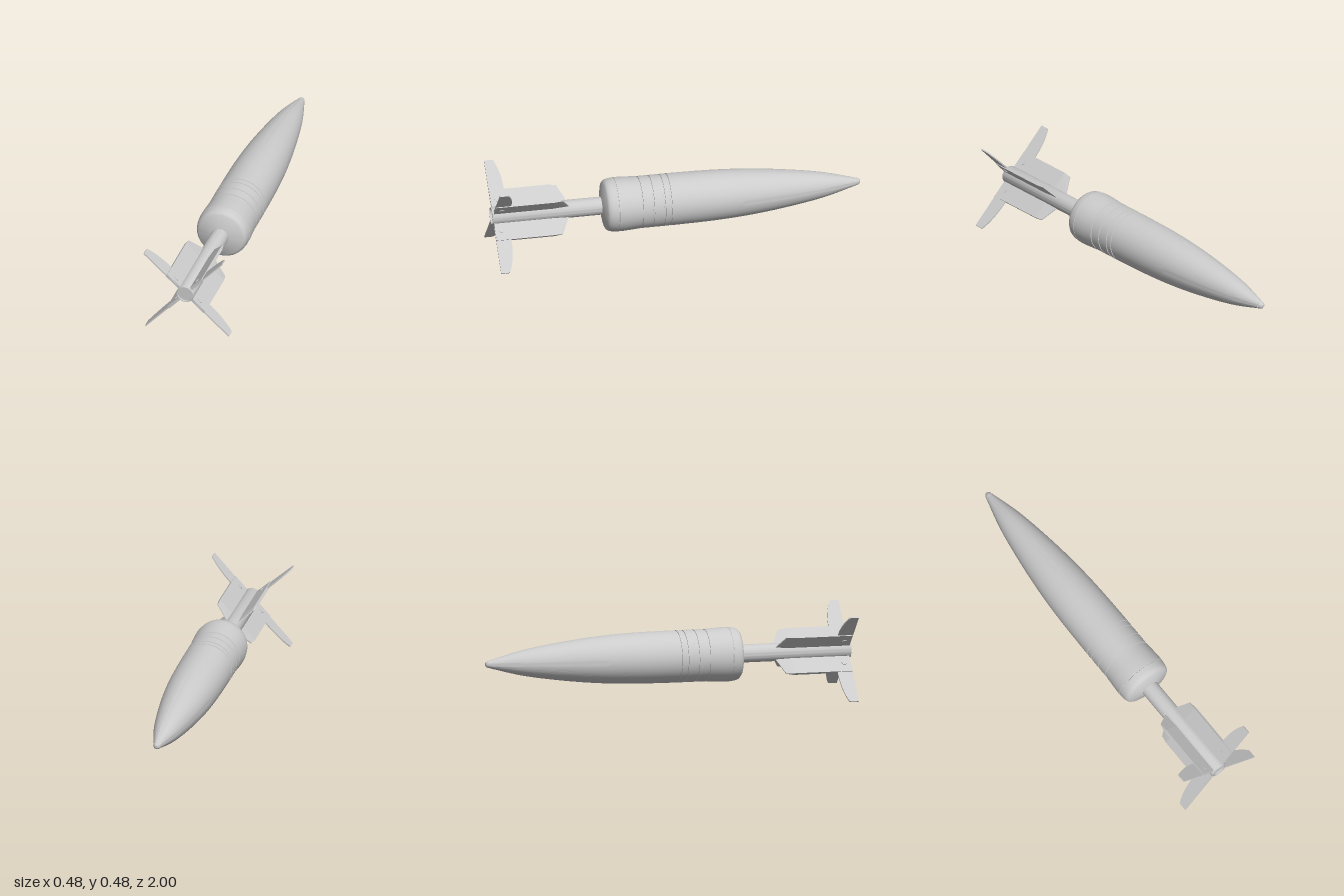
import * as THREE from 'three';
import { toCreasedNormals } from 'three/addons/utils/BufferGeometryUtils.js';

const material = new THREE.MeshStandardMaterial({ color: 0xcccccc });

function add(parent, name, geometry) {
  const mesh = new THREE.Mesh(toCreasedNormals(geometry, 0.45), material);
  mesh.name = name;
  parent.add(mesh);
  return mesh;
}

// Turned part along z; points are [z, radius] with z ascending
function turned(points, segments = 64) {
  const pts = points.map(([z, r]) => new THREE.Vector2(r, z));
  return new THREE.LatheGeometry(pts, segments).rotateX(Math.PI / 2);
}

// Flat part in the (radius, z) plane, centred on its thickness
function flat(shape, thickness) {
  return new THREE.ExtrudeGeometry(shape, { depth: thickness, bevelEnabled: false, curveSegments: 12 })
    .translate(0, 0, -thickness / 2)
    .rotateX(Math.PI / 2);
}

function polygon(points) {
  return new THREE.Shape(points.map(([r, z]) => new THREE.Vector2(r, z)));
}

function bodyProfile() {
  // Smooth ogive from behind the nose cap to the first band
  const ogive = new THREE.SplineCurve([
    [-0.975, 0.021], [-0.8, 0.067], [-0.6, 0.1], [-0.4, 0.123], [-0.2, 0.135], [0.03, 0.139],
  ].map(([z, r]) => new THREE.Vector2(z, r)));
  const points = ogive.getPoints(36).map((p) => [p.x, p.y]);
  // Grooved bands
  for (const z of [0.045, 0.08, 0.14, 0.2]) {
    points.push([z - 0.004, 0.139], [z - 0.003, 0.135], [z + 0.003, 0.135], [z + 0.004, 0.139]);
  }
  // Flared tail with a seam, rounded shoulder and shallow cone
  points.push(
    [0.25, 0.142], [0.29, 0.1445], [0.326, 0.145], [0.327, 0.143], [0.331, 0.143], [0.332, 0.1445],
    [0.36, 0.141], [0.374, 0.137], [0.382, 0.131], [0.388, 0.123], [0.404, 0.045],
  );
  return points;
}

function createFin(length) {
  const fin = new THREE.Group();
  const thick = 0.016;

  // Fixed plate
  add(fin, 'finPlate', flat(polygon([[0.04, 0.67], [0.143, 0.67], [0.143, 0.988], [0.04, 0.988]]), thick));

  // Leading edge, thinned towards the front
  const edge = flat(polygon([[0.04, 0.58], [0.05, 0.585], [0.138, 0.627], [0.143, 0.67], [0.04, 0.67]]), thick);
  const pos = edge.attributes.position;
  for (let i = 0; i < pos.count; i++) {
    if (pos.getZ(i) < 0.66) pos.setY(i, pos.getY(i) * 0.3);
  }
  edge.computeVertexNormals();
  add(fin, 'finLeadingEdge', edge);

  // Swing-out blade with a curved front edge
  const blade = new THREE.Shape();
  blade.moveTo(0.07, 0.99);
  blade.lineTo(0.07, 0.91);
  blade.lineTo(0.16, 0.908);
  blade.bezierCurveTo(0.22, 0.91, length - 0.04, 0.922, length - 0.003, 0.942);
  blade.lineTo(length, 0.95);
  blade.lineTo(length, 0.99);
  blade.closePath();
  add(fin, 'finBlade', flat(blade, 0.007));

  // Pivot pin showing on both faces
  const pin = new THREE.CylinderGeometry(0.014, 0.014, thick + 0.007, 20);
  add(fin, 'pivotPin', pin.translate(0.088, 0, 0.952));
  return fin;
}

export function createModel() {
  const model = new THREE.Group();
  model.name = 'finnedShell';
  model.position.set(-0.005, 0.249, 0);

  add(model, 'body', turned(bodyProfile(), 80));

  // Rounded nose cap
  add(model, 'noseCap', turned([
    [-1, 0], [-0.999, 0.007], [-0.995, 0.013], [-0.988, 0.0175], [-0.977, 0.0205], [-0.974, 0.0195],
  ], 40));

  // Tail tube with a recessed end
  add(model, 'tailTube', turned([
    [0.39, 0.048], [0.992, 0.048], [0.997, 0.046], [0.997, 0.042], [0.985, 0.042], [0.985, 0],
  ], 48));

  // Four fins, unfolded to slightly different lengths
  [0.308, 0.312, 0.332, 0.328].forEach((length, i) => {
    const fin = createFin(length);
    fin.name = `fin${i + 1}`;
    fin.rotation.z = THREE.MathUtils.degToRad(48 + i * 90);
    model.add(fin);
  });

  const root = new THREE.Group();
  root.add(model);
  return root;
}
